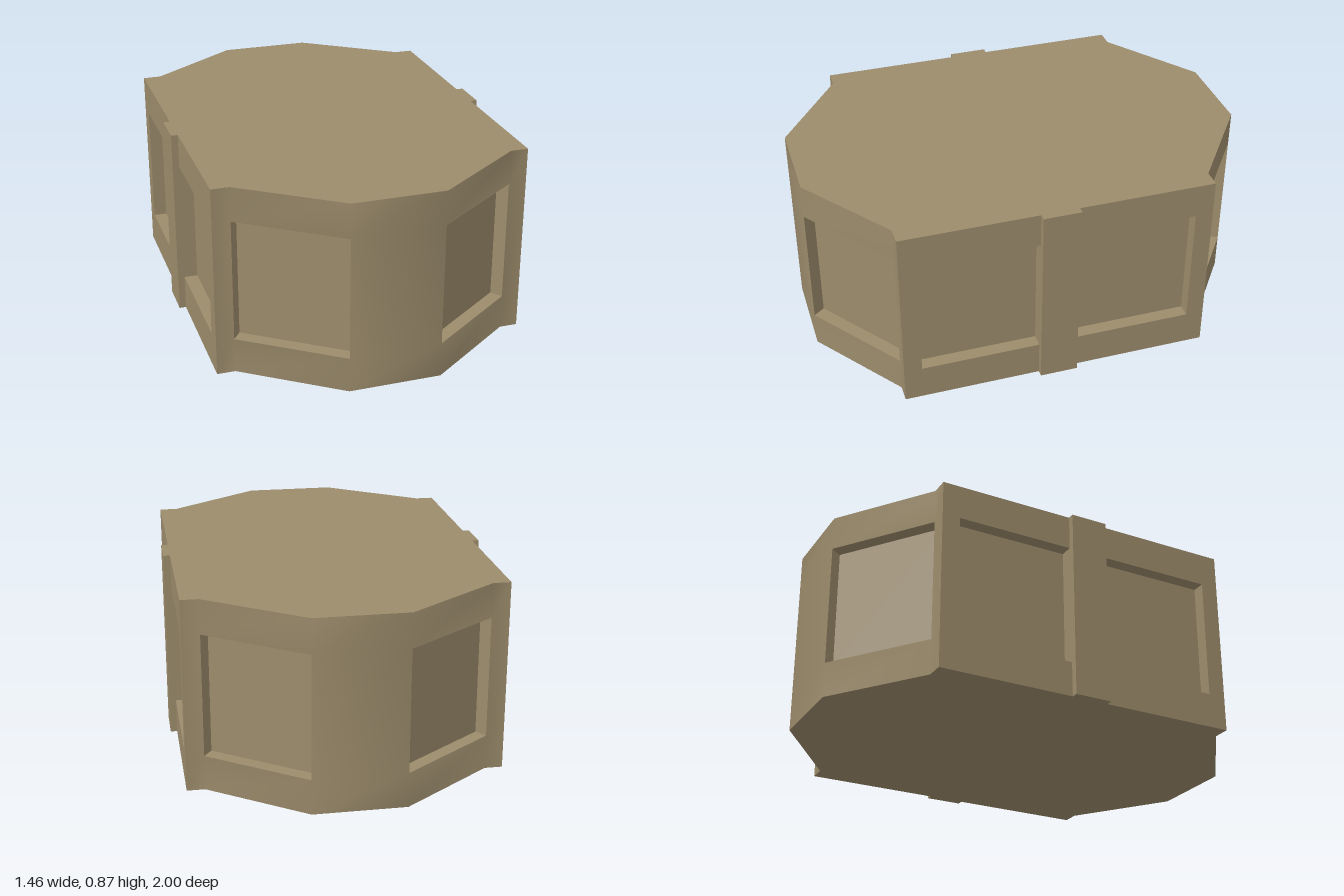
import * as THREE from 'three';
import { toCreasedNormals } from 'three/addons/utils/BufferGeometryUtils.js';

const HEIGHT = 0.865, LOW = 0.158, HIGH = 0.71, DEPTH = 0.06;

// Half of the plan as [x, z, recessed wall follows]; the other half is turned by 180 degrees
const half = [
  [-0.7, 0.7, false], [-0.62, 0.7, true], [-0.205, 1, false], [0.205, 1, true],
  [0.62, 0.7, false], [0.7, 0.7, false],
  [0.7, 0.62, true], [0.7, 0.085, false], [0.7, -0.085, true], [0.7, -0.62, false],
];
const plan = [...half, ...half.map(([x, z, r]) => [-x, -z, r])];

// Adds two triangles, corners counter-clockwise as seen from the front
function quad(out, a, b, c, d) {
  out.push(...a, ...b, ...c, ...a, ...c, ...d);
}

function toGeometry(positions) {
  const g = new THREE.BufferGeometry();
  g.setAttribute('position', new THREE.Float32BufferAttribute(positions, 3));
  return toCreasedNormals(g, THREE.MathUtils.degToRad(40));
}

export function createModel() {
  const group = new THREE.Group();
  const stone = new THREE.MeshStandardMaterial({ color: 0x9c8c6c });
  stone.name = 'tan stone';

  const add = (name, geometry) => {
    const mesh = new THREE.Mesh(geometry, stone);
    mesh.name = name;
    group.add(mesh);
    return mesh;
  };

  const walls = [], recesses = [];
  plan.forEach(([ax, az, recessed], i) => {
    const [bx, bz] = plan[(i + 1) % plan.length];
    const band = (y0, y1) =>
      quad(walls, [ax, y0, az], [bx, y0, bz], [bx, y1, bz], [ax, y1, az]);
    band(0, LOW);
    band(HIGH, HEIGHT);
    if (!recessed) {
      band(LOW, HIGH);
      return;
    }
    // Sunken panel with its four reveals
    const len = Math.hypot(bx - ax, bz - az);
    const ix = (bz - az) / len * DEPTH, iz = -(bx - ax) / len * DEPTH;
    const outer = [[ax, LOW, az], [bx, LOW, bz], [bx, HIGH, bz], [ax, HIGH, az]];
    const inner = outer.map(([x, y, z]) => [x + ix, y, z + iz]);
    quad(recesses, ...inner);
    for (let k = 0; k < 4; k++) {
      const n = (k + 1) % 4;
      quad(recesses, outer[k], outer[n], inner[n], inner[k]);
    }
  });
  add('walls', toGeometry(walls));
  add('recessedPanels', toGeometry(recesses));

  // Flat top and underside
  const outline = new THREE.Shape(plan.map(([x, z]) => new THREE.Vector2(x, -z)));
  add('top', new THREE.ShapeGeometry(outline).rotateX(-Math.PI / 2)).position.y = HEIGHT;
  add('underside', new THREE.ShapeGeometry(outline).rotateX(Math.PI / 2));

  // Raised strip in the middle of each side
  for (const [name, side] of [['leftPilaster', 1], ['rightPilaster', -1]]) {
    add(name, new THREE.BoxGeometry(0.03, HEIGHT, 0.17))
      .position.set(side * 0.715, HEIGHT / 2, 0);
  }
  return group;
}
